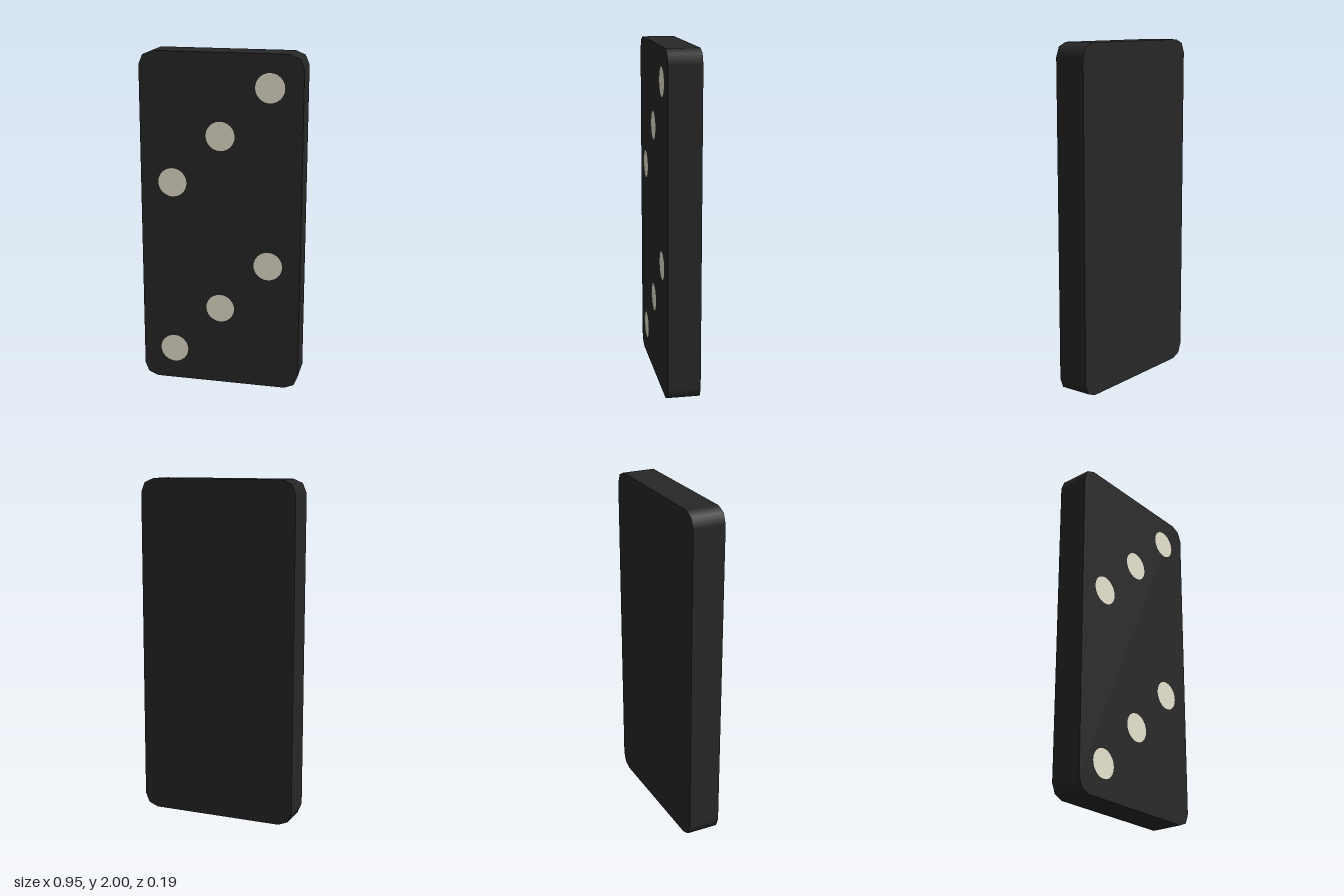
import * as THREE from 'three';

const HALF_W = 0.475, HEIGHT = 2, DEPTH = 0.19, RADIUS = 0.08, CORNER_STEPS = 2;

export function createModel() {
  const group = new THREE.Group();
  group.name = 'dominoTile';

  const black = new THREE.MeshStandardMaterial({ color: 0x272727 });
  black.name = 'tile black';
  const ivory = new THREE.MeshStandardMaterial({ color: 0xe8e4d0 });
  ivory.name = 'pip ivory';

  // Outline with coarsely rounded corners
  const cx = HALF_W - RADIUS, cy = HEIGHT / 2 - RADIUS;
  const outline = [];
  [[1, 1], [-1, 1], [-1, -1], [1, -1]].forEach(([sx, sy], corner) => {
    for (let i = 0; i <= CORNER_STEPS; i++) {
      const a = (corner + i / CORNER_STEPS) * Math.PI / 2;
      outline.push(new THREE.Vector2(sx * cx + RADIUS * Math.cos(a), sy * cy + RADIUS * Math.sin(a)));
    }
  });

  // Slab: flat faces, with the rim shaded smoothly around each corner
  const slab = new THREE.ExtrudeGeometry(new THREE.Shape(outline), { depth: DEPTH, bevelEnabled: false });
  slab.translate(0, 0, -DEPTH / 2);
  const pos = slab.attributes.position, nor = slab.attributes.normal;
  const n = new THREE.Vector3();
  for (let i = 0; i < pos.count; i++) {
    if (Math.abs(nor.getZ(i)) > 0.5) continue;
    const x = pos.getX(i), y = pos.getY(i);
    n.set(x - Math.sign(x) * cx, y - Math.sign(y) * cy, 0).normalize();
    nor.setXYZ(i, n.x, n.y, 0);
  }
  const tile = new THREE.Mesh(slab, black);
  tile.name = 'tile';
  tile.position.y = HEIGHT / 2;
  group.add(tile);

  // Three diagonal pips on each half of the front
  const pipShape = new THREE.CircleGeometry(0.085, 24);
  for (const middle of [0.48, 1.525]) {
    for (const step of [-1, 0, 1]) {
      const pip = new THREE.Mesh(pipShape, ivory);
      pip.name = 'pip';
      pip.position.set(step * 0.285, middle + step * 0.285, DEPTH / 2 + 0.002);
      group.add(pip);
    }
  }
  return group;
}
